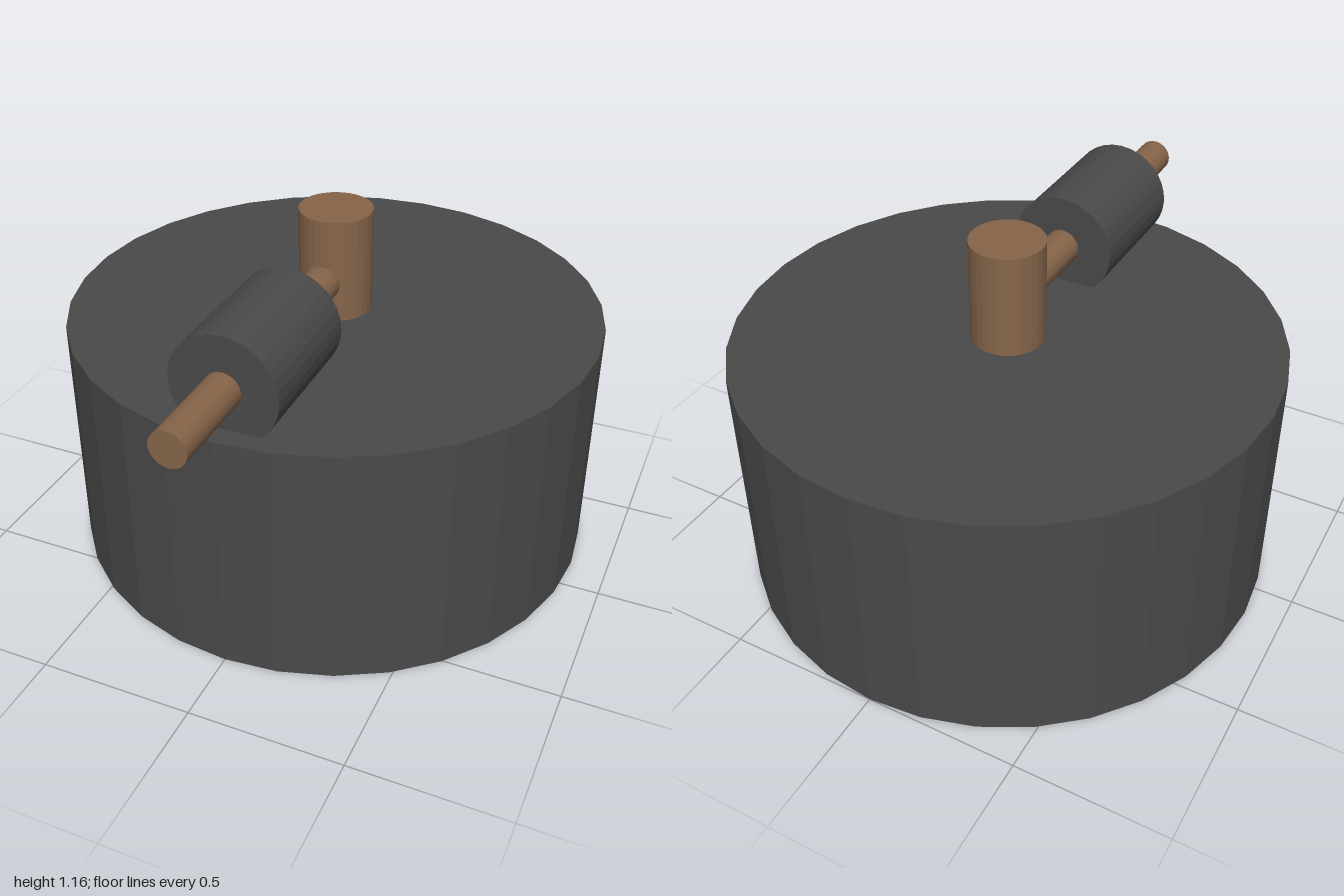
import * as THREE from 'three';

export function createModel() {
  const model = new THREE.Group();
  const stone = new THREE.MeshStandardMaterial({ color: 0x4a4a4a, flatShading: true });
  stone.name = 'dark stone';
  const wood = new THREE.MeshStandardMaterial({ color: 0x86654a, flatShading: true });
  wood.name = 'brown wood';

  const axisZ = -0.12; // vertical axis of the base and post
  const armY = 0.95;   // height of the horizontal arm

  function upright(name, radius, y0, y1, material) {
    const mesh = new THREE.Mesh(new THREE.CylinderGeometry(radius, radius, y1 - y0, 32), material);
    mesh.name = name;
    mesh.position.set(0, (y0 + y1) / 2, axisZ);
    model.add(mesh);
  }

  function lengthwise(name, radius, z0, z1, material) {
    const mesh = new THREE.Mesh(new THREE.CylinderGeometry(radius, radius, z1 - z0, 32), material);
    mesh.name = name;
    mesh.rotation.x = Math.PI / 2;
    mesh.position.set(0, armY, (z0 + z1) / 2);
    model.add(mesh);
  }

  // Round base with its central post
  upright('base', 0.88, 0, 0.82, stone);
  upright('post', 0.12, 0.8, 1.165, wood);

  // Arm from the post, carrying the roller
  lengthwise('arm', 0.058, axisZ, 1, wood);
  lengthwise('roller', 0.173, 0.25, 0.69, stone);

  return model;
}
